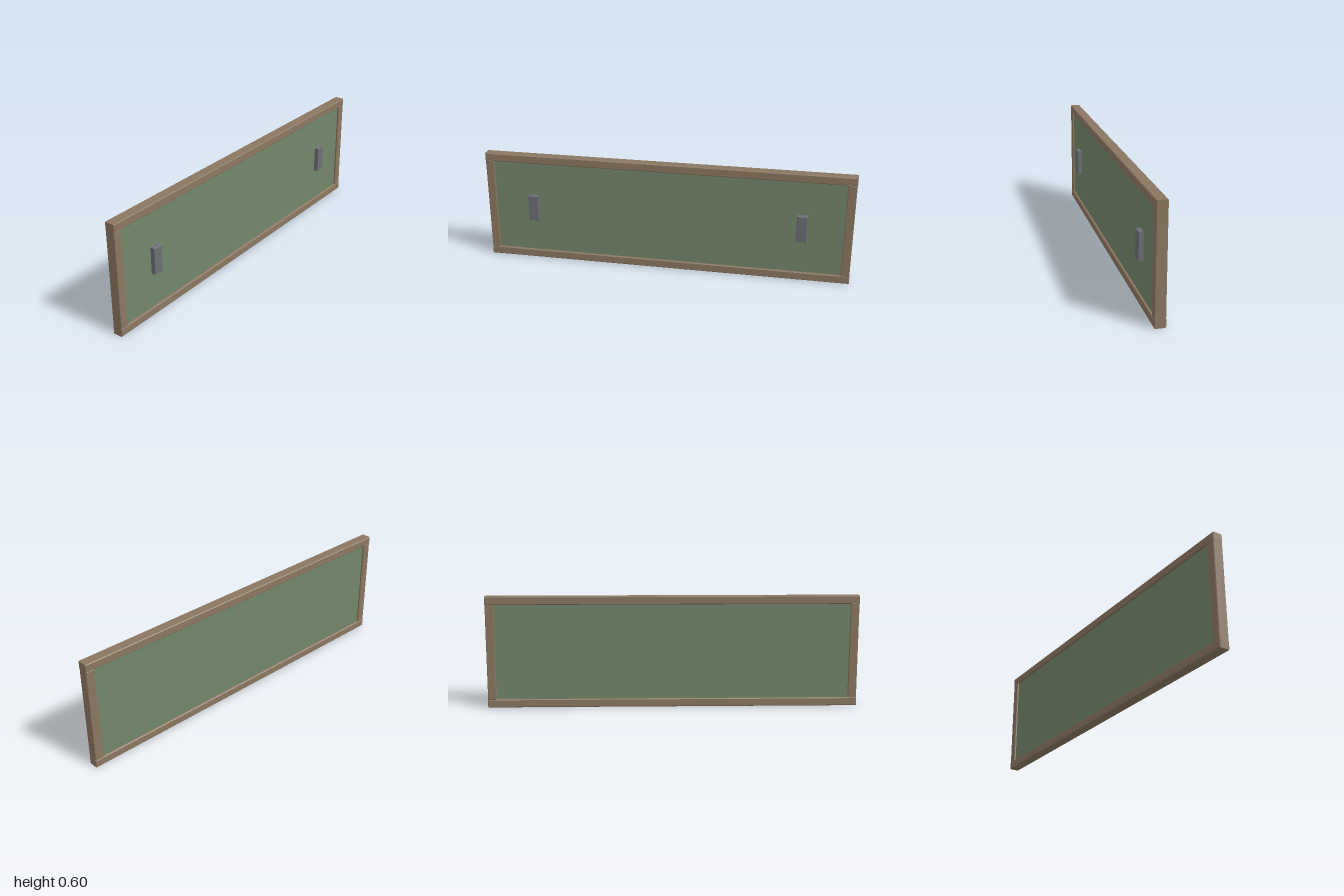
import * as THREE from 'three';

const wood = new THREE.MeshStandardMaterial({ name: 'brown wood', color: 0x8b7761 });
const green = new THREE.MeshStandardMaterial({ name: 'board green', color: 0x72866a });
const grey = new THREE.MeshStandardMaterial({ name: 'slate grey', color: 0x6c6f75 });

// Box with chamfered edges, given by its outer size
function chamferBox(w, h, d, c) {
  const x = w / 2 - c, y = h / 2 - c;
  const shape = new THREE.Shape([
    new THREE.Vector2(-x, -y), new THREE.Vector2(x, -y),
    new THREE.Vector2(x, y), new THREE.Vector2(-x, y),
  ]);
  const geo = new THREE.ExtrudeGeometry(shape, {
    depth: d - 2 * c, bevelEnabled: true, bevelSegments: 1, bevelSize: c, bevelThickness: c,
  });
  return geo.translate(0, 0, c - d / 2);
}

export function createModel() {
  const group = new THREE.Group();
  group.name = 'board';
  const add = (name, geo, mat, x, y, z) => {
    const mesh = new THREE.Mesh(geo, mat);
    mesh.name = name;
    mesh.position.set(x, y, z);
    group.add(mesh);
  };

  // Recessed writing panel
  add('panel', new THREE.BoxGeometry(1.92, 0.52, 0.034), green, 0, 0.301, -0.007);

  // Full-length top and bottom rails
  const rail = chamferBox(2, 0.044, 0.057, 0.004);
  add('topRail', rail, wood, 0, 0.58, -0.0065);
  add('bottomRail', rail, wood, 0, 0.022, -0.0065);

  // Side posts between the rails, and a raised block near each end of the panel
  const post = chamferBox(0.046, 0.52, 0.055, 0.003);
  const block = chamferBox(0.056, 0.145, 0.028, 0.003);
  for (const [side, s] of [['left', 1], ['right', -1]]) {
    add(side + 'Post', post, wood, s * 0.976, 0.301, -0.0065);
    add(side + 'Block', block, grey, s * 0.734, 0.302, 0.022);
  }
  return group;
}
